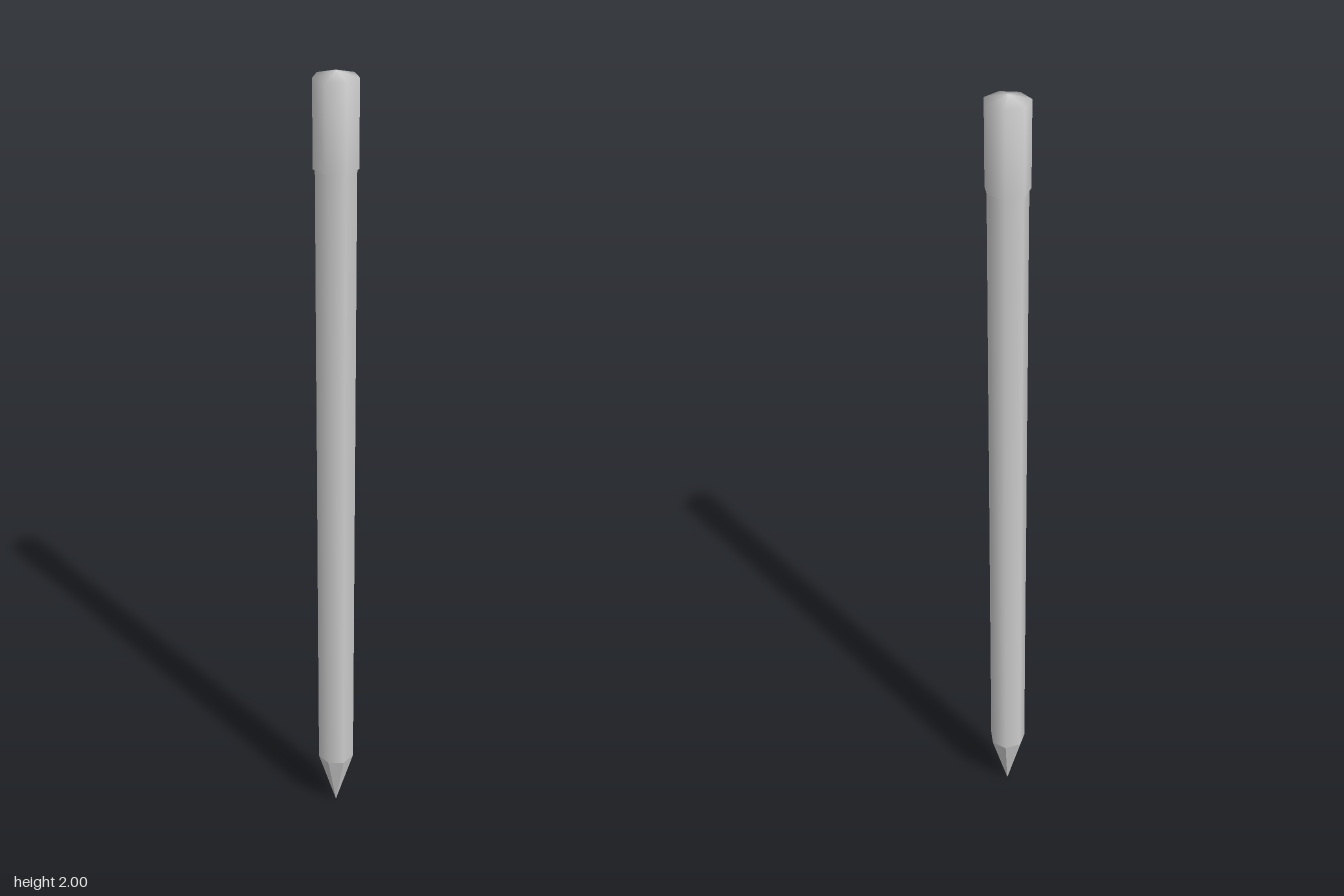
import * as THREE from 'three';

const SIDES = 7;
const BODY_R = 0.0468, CAP_R = 0.0513;

export function createModel() {
  const group = new THREE.Group();
  group.name = 'pencil';

  // Seven-sided turned part, one corner pointing to the back
  function turned(name, profile, flatShading = false) {
    const points = profile.map(([r, y]) => new THREE.Vector2(r, y));
    const geometry = new THREE.LatheGeometry(points, SIDES, Math.PI);
    const material = new THREE.MeshStandardMaterial({ color: 0xcccccc, flatShading });
    const mesh = new THREE.Mesh(geometry, material);
    mesh.name = name;
    mesh.position.z = 0.002;
    group.add(mesh);
  }

  // Sharpened point with crisp facets
  turned('tip', [[0, 0], [BODY_R, 0.163]], true);

  // Long smooth shaft
  turned('shaft', [[BODY_R, 0.163], [BODY_R, 1.79]]);

  // Slightly wider end cap: underside ledge, then sides running smoothly into a shallow peak
  turned('capLedge', [[BODY_R, 1.79], [CAP_R, 1.79]]);
  turned('endCap', [[CAP_R, 1.79], [CAP_R, 1.987], [0, 2]]);

  return group;
}
